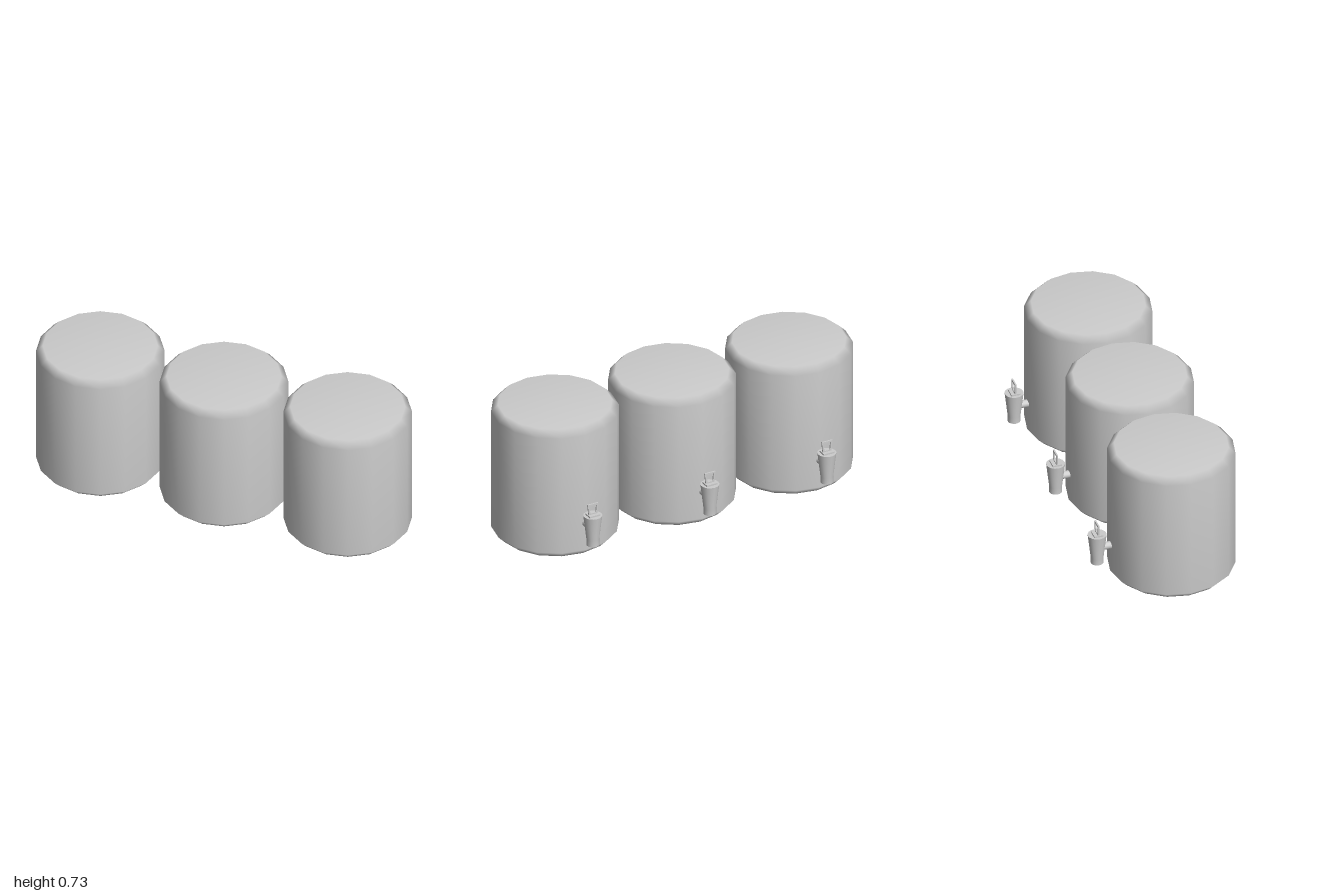
import * as THREE from 'three';

const material = new THREE.MeshStandardMaterial({ color: 0xcccccc });
const TAP_Z = -0.334;

function addMesh(parent, name, geometry, x = 0, y = 0, z = 0) {
  const mesh = new THREE.Mesh(geometry, material);
  mesh.name = name;
  mesh.position.set(x, y, z);
  parent.add(mesh);
  return mesh;
}

const lathe = (profile, sides) =>
  new THREE.LatheGeometry(profile.map(([r, y]) => new THREE.Vector2(r, y)), sides);

// Thin upright frame, a little wider at the top, with an open window
function handleGeometry() {
  const shape = new THREE.Shape([
    [-0.024, 0], [0.024, 0], [0.031, 0.06], [-0.031, 0.06],
  ].map(([x, y]) => new THREE.Vector2(x, y)));
  shape.holes.push(new THREE.Path([
    [-0.016, 0.008], [-0.021, 0.05], [0.021, 0.05], [0.016, 0.008],
  ].map(([x, y]) => new THREE.Vector2(x, y))));
  return new THREE.ExtrudeGeometry(shape, { depth: 0.008, bevelEnabled: false })
    .translate(0, 0, -0.004);
}

function createTap() {
  const tap = new THREE.Group();
  tap.name = 'tap';

  // Spout: straight nozzle flaring up to a wider head, closed at both ends
  addMesh(tap, 'spoutNozzle', lathe([[0.033, 0.1], [0.033, 0.135], [0.0485, 0.268]], 16), 0, 0, TAP_Z);
  addMesh(tap, 'spoutBottom', new THREE.CircleGeometry(0.033, 16).rotateX(Math.PI / 2), 0, 0.1, TAP_Z);
  addMesh(tap, 'spoutTop', new THREE.CircleGeometry(0.0485, 16).rotateX(-Math.PI / 2), 0, 0.268, TAP_Z);

  // Lever block and handle
  addMesh(tap, 'leverBlock', new THREE.BoxGeometry(0.06, 0.012, 0.047), 0, 0.27, TAP_Z);
  addMesh(tap, 'handle', handleGeometry(), 0, 0.274, TAP_Z);

  // Pipe from the drum wall into the spout
  addMesh(tap, 'pipe', new THREE.CylinderGeometry(0.02, 0.02, 0.065, 12).rotateX(Math.PI / 2), 0, 0.19, -0.289);
  return tap;
}

export function createModel() {
  const model = new THREE.Group();
  model.name = 'drinkDispensers';

  // Sixteen-sided drum with chamfered rims
  const drum = lathe([
    [0, 0], [0.29, 0], [0.325, 0.035], [0.325, 0.695], [0.29, 0.73], [0, 0.73],
  ], 16);

  for (const x of [-0.675, 0, 0.675]) {
    const dispenser = new THREE.Group();
    dispenser.name = 'dispenser';
    dispenser.position.x = x;
    addMesh(dispenser, 'drum', drum, 0, 0, 0.06);
    dispenser.add(createTap());
    model.add(dispenser);
  }
  return model;
}
